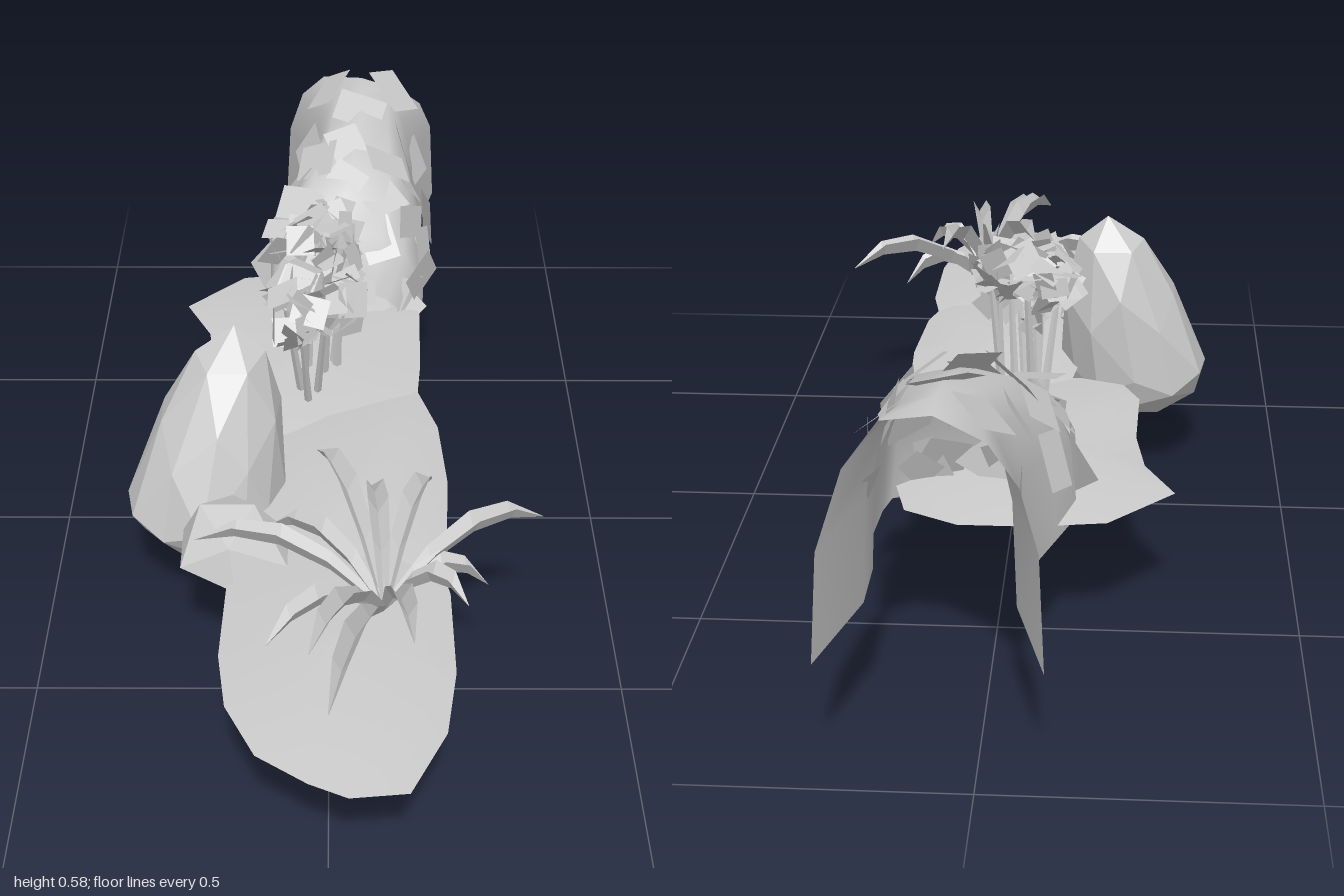
import * as THREE from 'three';
import { mergeGeometries } from 'three/addons/utils/BufferGeometryUtils.js';

const V = (x, y, z) => new THREE.Vector3(x, y, z);
const smooth = new THREE.MeshStandardMaterial({ color: 0xcccccc, side: THREE.DoubleSide });
const faceted = new THREE.MeshStandardMaterial({ color: 0xcccccc, side: THREE.DoubleSide, flatShading: true });

// Small seeded generator
let seed = 7;
const rand = (a, b) => {
  seed = (seed * 16807) % 2147483647;
  return a + (b - a) * (seed / 2147483647);
};

// Skins a surface over rows of equally many points
function loft(rows) {
  const n = rows[0].length, index = [];
  for (let i = 0; i < rows.length - 1; i++)
    for (let j = 0; j < n - 1; j++) {
      const a = i * n + j, b = a + n;
      index.push(a, b, a + 1, a + 1, b, b + 1);
    }
  const g = new THREE.BufferGeometry().setFromPoints(rows.flat());
  g.setIndex(index);
  g.computeVertexNormals();
  return g;
}

function mesh(name, geometry, material) {
  const m = new THREE.Mesh(geometry, material);
  m.name = name;
  return m;
}

// Gently domed ground patch from an [x, z] outline
function groundPatch(name, outline, lift) {
  const cx = outline.reduce((s, p) => s + p[0], 0) / outline.length;
  const cz = outline.reduce((s, p) => s + p[1], 0) / outline.length;
  const loop = [...outline, outline[0]];
  const rows = [0, 0.5, 0.8, 1].map((t) =>
    loop.map(([x, z]) => V(cx + (x - cx) * t, 0.222 + lift * (1 - t * t), cz + (z - cz) * t)));
  return mesh(name, loft(rows), smooth);
}

// Faceted boulder: widest at its centre, leaning and narrowing to the top
function rock(name, detail, c, r, up, down, lean) {
  const g = new THREE.IcosahedronGeometry(1, detail), p = g.attributes.position;
  for (let i = 0; i < p.count; i++) {
    const d = V().fromBufferAttribute(p, i);
    const t = Math.max(d.y, 0);
    const bump = 1 + 0.05 * Math.sin(d.x * 9 + d.z * 7 + d.y * 5);
    const w = bump * (1 - 0.2 * t);
    p.setXYZ(i, c[0] + d.x * r[0] * w + lean[0] * t,
      c[1] + d.y * (d.y > 0 ? up : down),
      c[2] + d.z * r[1] * w + lean[1] * t);
  }
  g.computeVertexNormals();
  return mesh(name, g, faceted);
}

// Flat leaf card facing a direction, with some random tilt
function card(pos, normal, w, h, tilt) {
  const g = new THREE.PlaneGeometry(w, h);
  g.rotateZ(rand(0, Math.PI));
  const n = normal.clone().add(V(rand(-tilt, tilt), rand(-tilt, tilt), rand(-tilt, tilt))).normalize();
  g.applyQuaternion(new THREE.Quaternion().setFromUnitVectors(V(0, 0, 1), n));
  return g.translate(pos.x, pos.y, pos.z);
}

// Arching leaf with a deeply folded midrib
function archingLeaf(root, tip) {
  const mid = root.clone().lerp(tip, 0.6).setY(0.22 + tip.y * 0.72);
  const curve = new THREE.QuadraticBezierCurve3(root, mid, tip);
  const side = V(0, 1, 0).cross(tip.clone().sub(root)).setY(0).normalize();
  const rows = [0, 0.25, 0.5, 0.75, 1].map((t, i) => {
    const w = [0.006, 0.014, 0.017, 0.014, 0.0005][i], p = curve.getPoint(t);
    return [p.clone().addScaledVector(side, -w), p.clone().setY(p.y - w * 1.8), p.clone().addScaledVector(side, w)];
  });
  return loft(rows);
}

function createPlant() {
  const root = V(0.09, 0.245, 0.58);
  const tips = [[-0.22, 0.31, 0.49], [-0.02, 0.4, 0.36], [0.07, 0.37, 0.42], [0.17, 0.37, 0.4],
    [0.355, 0.315, 0.43], [0.26, 0.25, 0.53], [0.22, 0.3, 0.65], [0.13, 0.33, 0.78],
    [0, 0.31, 0.92], [-0.03, 0.34, 0.82], [-0.1, 0.25, 0.69], [-0.1, 0.31, 0.45]];
  const leaves = tips.map((t) => archingLeaf(root, V(...t)));
  return mesh('archingPlant', mergeGeometries(leaves), faceted);
}

function createTree() {
  const group = new THREE.Group();
  group.name = 'tree';
  // Thin leaning stalks: foot and tip of each
  const stalks = [
    [-0.06, 0.004, -0.17, -0.04, 0.42, -0.07], [-0.04, 0.02, -0.15, -0.01, 0.42, -0.03],
    [-0.03, 0.04, -0.12, -0.05, 0.4, 0.0], [-0.02, 0.05, -0.18, 0.0, 0.46, -0.12],
    [-0.01, 0.05, -0.19, 0.03, 0.5, -0.19], [0.01, 0.13, -0.18, 0.02, 0.52, -0.17],
    [-0.05, 0.07, -0.16, -0.03, 0.52, -0.19], [-0.04, 0.12, -0.12, -0.08, 0.44, -0.04]];
  const parts = stalks.map(([x, y, z, X, Y, Z]) => {
    const a = V(x, y, z), d = V(X, Y, Z).sub(a);
    const g = new THREE.CylinderGeometry(0.005, 0.01, d.length(), 4);
    g.applyQuaternion(new THREE.Quaternion().setFromUnitVectors(V(0, 1, 0), d.clone().normalize()));
    return g.translate(x + d.x / 2, y + d.y / 2, z + d.z / 2);
  });
  group.add(mesh('stalks', mergeGeometries(parts), faceted));
  // Leaf clusters: centre, radius, height, count
  const clusters = [[-0.06, 0.46, 0.015, 0.045, 0.05, 22], [0.02, 0.46, -0.03, 0.04, 0.05, 20],
    [-0.05, 0.45, -0.08, 0.045, 0.06, 18], [0.01, 0.48, -0.13, 0.04, 0.045, 14],
    [0.0, 0.525, -0.19, 0.04, 0.035, 18], [-0.07, 0.51, -0.18, 0.04, 0.03, 14]];
  const cards = [];
  for (const [x, y, z, r, h, count] of clusters)
    for (let i = 0; i < count; i++) {
      const d = V(rand(-1, 1), rand(-1, 1), rand(-1, 1)).normalize();
      const pos = V(x + d.x * r, y + d.y * h, z + d.z * r);
      cards.push(card(pos, d, rand(0.03, 0.055), rand(0.045, 0.07), 1));
    }
  group.add(mesh('treeLeaves', mergeGeometries(cards), faceted));
  return group;
}

function createBush() {
  const group = new THREE.Group();
  group.name = 'bush';
  // Arched shell, closed at the front and ragged at its open back: z, left edge, right edge, top
  const sections = [[-0.4, -0.07, 0.14, 0.27], [-0.43, -0.12, 0.18, 0.39], [-0.48, -0.13, 0.19, 0.45],
    [-0.57, -0.1, 0.195, 0.495], [-0.69, -0.06, 0.18, 0.525], [-0.8, -0.05, 0.18, 0.54], [-0.92, -0.1, 0.23, 0.535]];
  const ragged = [-0.07, -0.06, 0.02, 0.07, 0.05, 0, -0.03, -0.05, -0.08];
  const rows = sections.map(([z, x0, x1, top], i) => ragged.map((dz, j) => {
    const a = (j / (ragged.length - 1)) * Math.PI, c = Math.cos(a);
    const x = (x0 + x1) / 2 + (x1 - x0) / 2 * Math.sign(c) * Math.abs(c) ** 0.75;
    const y = 0.2 + (top - 0.2) * Math.abs(Math.sin(a)) ** 0.7;
    return V(x, y, z + (i === sections.length - 1 ? dz : 0));
  }));
  const shell = loft(rows);
  group.add(mesh('bushShell', shell, smooth));
  // Leaf cards scattered over the shell, densest at the front
  const p = shell.attributes.position, n = shell.attributes.normal, cards = [];
  for (let row = 0; row < sections.length - 1; row++)
    for (let col = 1; col < ragged.length - 1; col++) {
      if (row > 3 && (row + col) % 2) continue;
      const i = row * ragged.length + col;
      const normal = V().fromBufferAttribute(n, i);
      const pos = V().fromBufferAttribute(p, i).addScaledVector(normal, 0.004);
      pos.x += rand(-0.012, 0.012);
      pos.z = Math.min(pos.z + rand(-0.04, 0.02), -0.41);
      pos.y = Math.max(pos.y, 0.24);
      cards.push(card(pos, normal, rand(0.06, 0.09), rand(0.08, 0.11), 0.35));
    }
  group.add(mesh('bushLeaves', mergeGeometries(cards), faceted));
  return group;
}

export function createModel() {
  seed = 7;
  const model = new THREE.Group();
  model.name = 'gardenBed';
  model.add(
    groundPatch('frontGround', [[0.2, 0.72], [0.2, 0.52], [0.17, 0.36], [0.08, 0.25], [-0.02, 0.25], [-0.12, 0.36],
      [-0.17, 0.5], [-0.175, 0.68], [-0.16, 0.8], [-0.11, 0.91], [-0.03, 0.97], [0.03, 1], [0.12, 0.99], [0.18, 0.86]], 0.022),
    groundPatch('middleGround', [[0.21, 0.2], [0.2, 0.02], [0.165, -0.11], [0.08, -0.11], [-0.02, -0.06], [-0.1, 0.05],
      [-0.12, 0.2], [-0.13, 0.35], [-0.1, 0.48], [0, 0.57], [0.1, 0.58], [0.17, 0.5], [0.2, 0.38]], 0.024),
    groundPatch('backGround', [[0.18, -0.4], [0.175, -0.2], [0.165, -0.08], [0.1, 0.02], [0, 0.07], [-0.12, 0.08],
      [-0.2, 0.05], [-0.23, -0.02], [-0.225, -0.2], [-0.24, -0.32], [-0.29, -0.43], [-0.18, -0.55], [-0.06, -0.57],
      [0.06, -0.57], [0.15, -0.52]], 0.02),
    rock('largeRock', 1, [-0.22, 0.215, 0.215], [0.14, 0.14], 0.305, 0.105, [0.055, -0.06]),
    rock('smallRock', 0, [-0.155, 0.24, 0.42], [0.105, 0.1], 0.085, 0.055, [-0.02, -0.03]),
    createPlant(),
    createTree(),
    createBush());
  return model;
}
